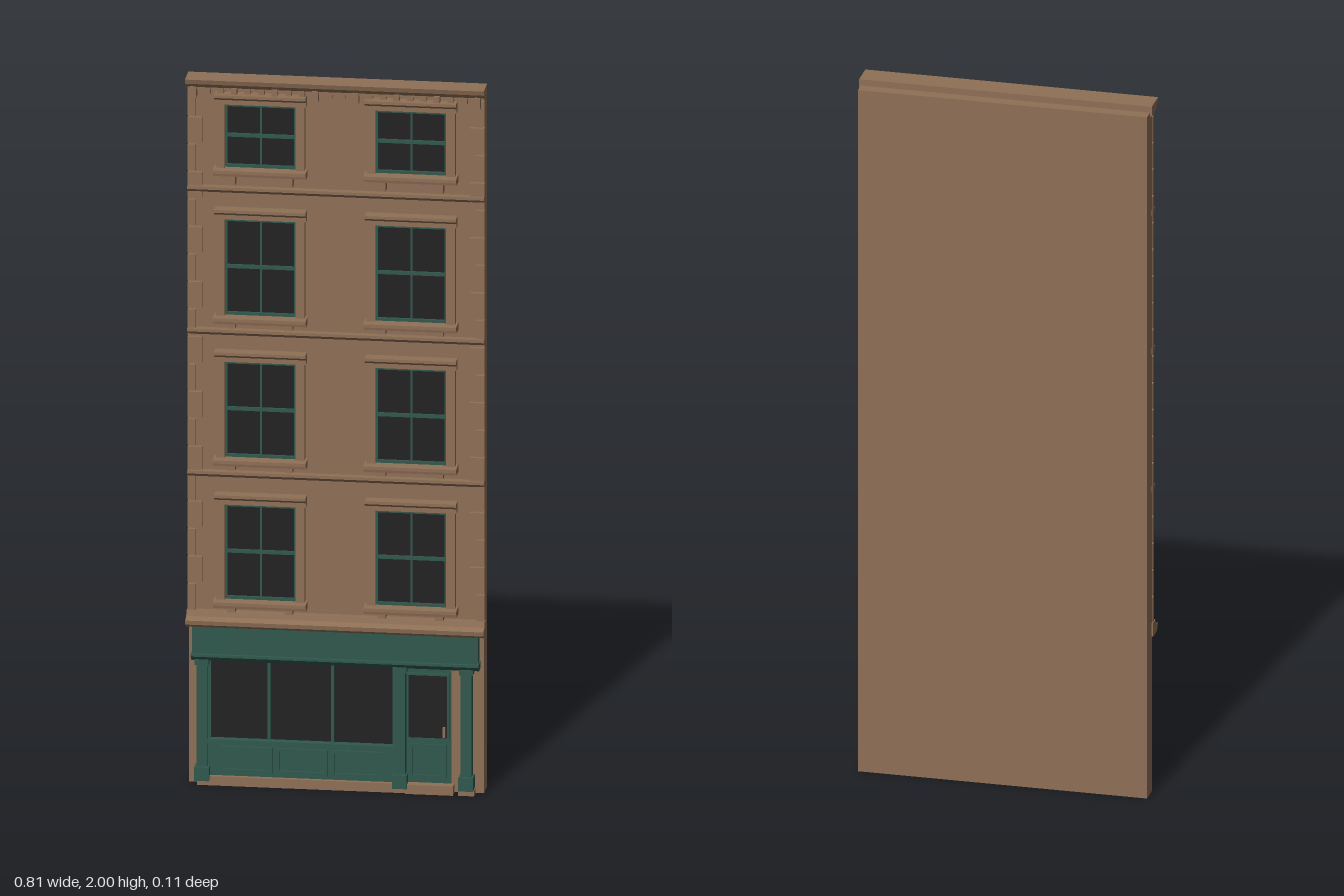
import * as THREE from 'three';

const mat = (name, color) => {
  const m = new THREE.MeshStandardMaterial({ color });
  m.name = name;
  return m;
};

export function createModel() {
  const stone = mat('brown stone', 0x8f7056);
  const green = mat('green paint', 0x30584e);
  const glass = mat('dark glass', 0x232323);
  const root = new THREE.Group();
  root.name = 'townhouseFacade';
  const WALL = 0.005;

  // Box given by its limits on each axis
  function box(parent, name, m, x0, x1, y0, y1, z1, z0 = WALL - 0.003) {
    const mesh = new THREE.Mesh(new THREE.BoxGeometry(x1 - x0, y1 - y0, z1 - z0), m);
    mesh.position.set((x0 + x1) / 2, (y0 + y1) / 2, (z0 + z1) / 2);
    mesh.name = name;
    parent.add(mesh);
    return mesh;
  }
  // Moulding: a (z, y) profile run along x
  function moulding(parent, name, m, x0, x1, pts) {
    const shape = new THREE.Shape(pts.map(([z, y]) => new THREE.Vector2(-z, y)));
    const geo = new THREE.ExtrudeGeometry(shape, { depth: x1 - x0, bevelEnabled: false });
    geo.rotateY(Math.PI / 2);
    geo.translate(x0, 0, 0);
    const mesh = new THREE.Mesh(geo, m);
    mesh.name = name;
    parent.add(mesh);
  }
  // Flat rectangular frame with an opening
  function frame(parent, name, m, x0, x1, y0, y1, t, z1, z0 = WALL - 0.003) {
    const s = new THREE.Shape();
    s.moveTo(x0, y0).lineTo(x1, y0).lineTo(x1, y1).lineTo(x0, y1).closePath();
    const h = new THREE.Path();
    h.moveTo(x0 + t, y0 + t).lineTo(x0 + t, y1 - t).lineTo(x1 - t, y1 - t).lineTo(x1 - t, y0 + t).closePath();
    s.holes.push(h);
    const mesh = new THREE.Mesh(new THREE.ExtrudeGeometry(s, { depth: z1 - z0, bevelEnabled: false }), m);
    mesh.position.z = z0;
    mesh.name = name;
    parent.add(mesh);
  }

  // Main wall
  box(root, 'wall', stone, -0.4, 0.4, 0, 1.982, WALL, -0.053);

  // Corner quoins, alternating long and short, cut by the string courses
  const quoins = new THREE.Group();
  quoins.name = 'quoins';
  root.add(quoins);
  for (let i = 0; i < 19; i++) {
    const y0 = 0.49 + i * 0.0777, y1 = Math.min(y0 + 0.0727, 1.96);
    const w = i % 2 ? 0.04 : 0.022;
    for (const s of [-1, 1]) {
      const a = s * 0.402, b = s * (0.402 - w);
      box(quoins, 'quoin', stone, Math.min(a, b), Math.max(a, b), y0, y1, 0.017);
    }
  }

  // String courses between the floors
  for (const y of [0.878, 1.28, 1.683]) {
    moulding(root, 'stringCourse', stone, -0.402, 0.402,
      [[0, y - 0.009], [0.016, y - 0.009], [0.026, y], [0.026, y + 0.008], [0, y + 0.008]]);
  }

  // Sash windows: bottom and top of each glazed opening
  const floors = [[0.53, 0.79], [0.932, 1.194], [1.334, 1.597], [1.752, 1.922]];
  floors.forEach(([y0, y1], f) => {
    for (const cx of [-0.204, 0.204]) {
      const g = new THREE.Group();
      g.name = 'window';
      g.position.x = cx;
      root.add(g);
      const mid = (y0 + y1) / 2;
      box(g, 'windowGlass', glass, -0.092, 0.092, y0, y1, 0.009);
      frame(g, 'sashFrame', green, -0.098, 0.098, y0 - 0.005, y1 + 0.005, 0.008, 0.017);
      box(g, 'meetingRail', green, -0.092, 0.092, mid - 0.005, mid + 0.005, 0.015);
      box(g, 'glazingBar', green, -0.003, 0.003, y0, y1, 0.012);
      // Stone surround
      for (const s of [-1, 1]) {
        box(g, 'jamb', stone, s * 0.108 - 0.012, s * 0.108 + 0.012, y0 - 0.005, y1 + 0.006, 0.027);
        const drop = f === 3 ? 0.026 : 0.012;
        box(g, 'sillBracket', stone, s * 0.078 - 0.011, s * 0.078 + 0.011, y0 - 0.026 - drop, y0 - 0.022, 0.034);
      }
      moulding(g, 'lintel', stone, -0.124, 0.124, [[0, y1 + 0.005], [0.029, y1 + 0.005],
        [0.029, y1 + 0.018], [0.04, y1 + 0.026], [0.04, y1 + 0.034], [0, y1 + 0.034]]);
      moulding(g, 'sill', stone, -0.126, 0.126, [[0, y0 - 0.026], [0.036, y0 - 0.026],
        [0.038, y0 - 0.017], [0.05, y0 - 0.015], [0.05, y0 - 0.006], [0, y0 - 0.004]]);
    }
  });

  // Roof cornice with dentils
  moulding(root, 'cornice', stone, -0.405, 0.405, [[-0.02, 1.972], [0.024, 1.972],
    [0.034, 1.984], [0.046, 1.987], [0.05, 2], [-0.02, 2]]);
  box(root, 'corniceFrieze', stone, -0.402, 0.402, 1.963, 1.974, 0.018);
  for (let i = 0; i < 22; i++) {
    const x = -0.385 + i * 0.77 / 21, big = i % 3 === 0;
    box(root, 'dentil', stone, x - 0.008, x + 0.008, big ? 1.943 : 1.952, 1.974, big ? 0.032 : 0.024);
  }

  // Ledge over the shopfront
  moulding(root, 'shopLedge', stone, -0.404, 0.404, [[0, 0.45], [0.04, 0.45], [0.05, 0.458],
    [0.052, 0.47], [0.03, 0.476], [0.026, 0.49], [0, 0.49]]);

  // Shopfront
  const shop = new THREE.Group();
  shop.name = 'shopfront';
  root.add(shop);
  box(shop, 'fascia', green, -0.387, 0.387, 0.372, 0.45, 0.036);
  moulding(shop, 'fasciaMoulding', green, -0.39, 0.39,
    [[0, 0.354], [0.034, 0.354], [0.044, 0.366], [0.044, 0.373], [0, 0.375]]);
  for (const x of [-0.361, 0.175, 0.355]) {
    box(shop, 'pilaster', green, x - 0.015, x + 0.015, 0.012, 0.36, 0.034);
    box(shop, 'pilasterCapital', green, x - 0.019, x + 0.019, 0.342, 0.357, 0.04);
    box(shop, 'pilasterBase', green, x - 0.02, x + 0.02, 0.015, 0.053, 0.044);
  }

  // Display window with three panes above a panelled stall riser
  box(shop, 'displayGlass', glass, -0.342, 0.158, 0.13, 0.355, 0.012);
  frame(shop, 'displayFrame', green, -0.347, 0.163, 0.122, 0.36, 0.009, 0.022);
  for (const x of [-0.181, -0.008]) box(shop, 'mullion', green, x - 0.004, x + 0.004, 0.125, 0.357, 0.022);
  box(shop, 'stallRiser', green, -0.347, 0.163, 0.025, 0.125, 0.02);
  box(shop, 'displaySill', green, -0.347, 0.163, 0.119, 0.131, 0.034);
  for (let i = 0; i < 3; i++) {
    const x = -0.313 + i * 0.151;
    frame(shop, 'riserPanel', green, x, x + 0.141, 0.037, 0.11, 0.009, 0.026);
  }

  // Door
  box(shop, 'door', green, 0.188, 0.312, 0.025, 0.346, 0.012);
  box(shop, 'doorGlass', glass, 0.197, 0.301, 0.153, 0.33, 0.014);
  frame(shop, 'doorGlassFrame', green, 0.191, 0.307, 0.147, 0.336, 0.006, 0.017);
  frame(shop, 'doorPanel', green, 0.2, 0.3, 0.04, 0.135, 0.008, 0.016);
  box(shop, 'doorHandle', stone, 0.29, 0.296, 0.158, 0.186, 0.024);

  // Stone plinth and doorstep
  box(root, 'plinth', stone, -0.375, 0.19, 0, 0.026, 0.032);
  box(root, 'doorstep', stone, 0.19, 0.32, 0, 0.026, 0.038);
  box(root, 'pilasterFoot', stone, 0.333, 0.377, 0, 0.016, 0.036);

  return root;
}
